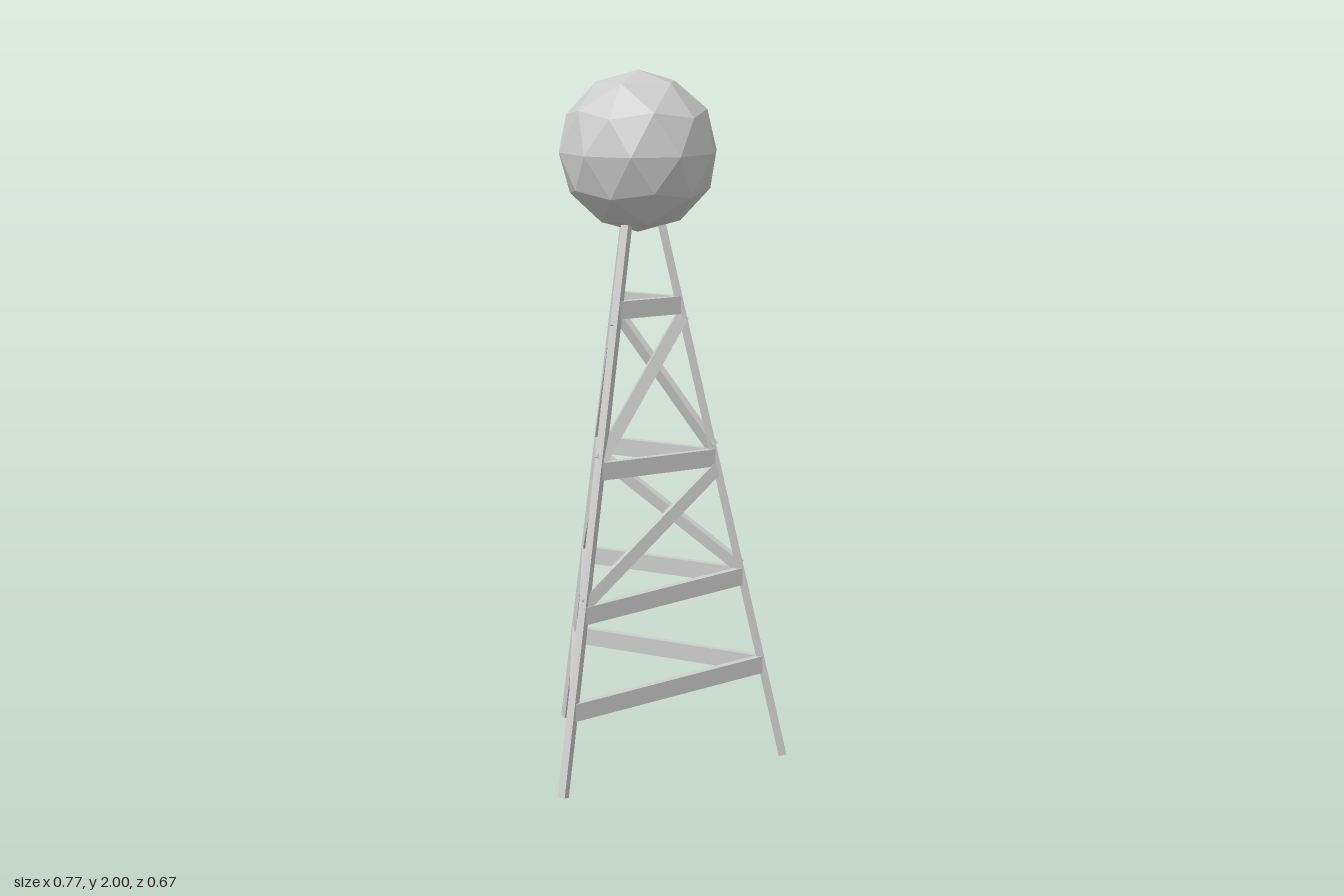
import * as THREE from 'three';

const AXIS_Z = 0.105;          // tower axis, set forward of the origin
const FOOT_R = 0.427, TOP_R = 0.064, TOP_Y = 1.58;
const grey = new THREE.MeshStandardMaterial({ color: 0xcccccc, flatShading: true });

// Leg directions in plan: front right, back, front left
const LEG_ANGLES = [Math.PI / 6, -Math.PI / 2, Math.PI * 5 / 6];

// Point on a leg's centre line at height y
function legPoint(leg, y) {
  const a = LEG_ANGLES[leg];
  const r = THREE.MathUtils.lerp(FOOT_R, TOP_R, y / TOP_Y);
  return new THREE.Vector3(r * Math.cos(a), y, AXIS_Z + r * Math.sin(a));
}

// Square-cut bar from a to b; depth is measured along the outward direction
function bar(name, a, b, outward, depth, height) {
  const dir = b.clone().sub(a);
  const length = dir.length();
  dir.normalize();
  const x = outward.clone().addScaledVector(dir, -outward.dot(dir)).normalize();
  const z = x.clone().cross(dir);
  const mesh = new THREE.Mesh(new THREE.BoxGeometry(depth, length, height), grey);
  mesh.name = name;
  mesh.quaternion.setFromRotationMatrix(new THREE.Matrix4().makeBasis(x, dir, z));
  mesh.position.copy(a).add(b).multiplyScalar(0.5);
  return mesh;
}

// Horizontal direction from the tower axis to the middle of a and b
function outwardOf(a, b) {
  const m = a.clone().add(b).multiplyScalar(0.5);
  return new THREE.Vector3(m.x, 0, m.z - AXIS_Z).normalize();
}

export function createModel() {
  const model = new THREE.Group();
  model.name = 'waterTower';

  // Faceted tank, one corner pointing straight up
  const ball = new THREE.IcosahedronGeometry(0.227, 1);
  ball.rotateZ(-Math.atan(2 / (1 + Math.sqrt(5))));
  const tank = new THREE.Mesh(ball, grey);
  tank.name = 'tank';
  tank.position.set(0, 1.773, AXIS_Z);
  model.add(tank);

  // Three leaning legs
  const legs = new THREE.Group();
  legs.name = 'legs';
  for (let i = 0; i < 3; i++) {
    const a = legPoint(i, 0.003), b = legPoint(i, TOP_Y);
    legs.add(bar('leg', a, b, outwardOf(a, b), 0.023, 0.023));
  }
  model.add(legs);

  // Joint heights per ring: [front right, back, front left]
  const rings = [
    [0.28, 0.28, 0.235],
    [0.545, 0.545, 0.5],
    [0.896, 0.896, 0.896],
    [1.338, 1.338, 1.338],
  ];

  // Ring beams between neighbouring legs
  const beams = new THREE.Group();
  beams.name = 'ringBeams';
  for (const heights of rings) {
    for (let i = 0; i < 3; i++) {
      const j = (i + 1) % 3;
      const a = legPoint(i, heights[i]), b = legPoint(j, heights[j]);
      beams.add(bar('ringBeam', a, b, outwardOf(a, b), 0.022, 0.05));
    }
  }
  model.add(beams);

  // Diagonal braces rise from each leg to the next; the lowest bay has only one
  const braces = new THREE.Group();
  braces.name = 'braces';
  for (let bay = 0; bay < 3; bay++) {
    for (let i = 0; i < 3; i++) {
      if (bay === 0 && i !== 1) continue;
      const j = (i + 1) % 3;
      const a = legPoint(i, rings[bay][i] + 0.03);
      const b = legPoint(j, rings[bay + 1][j] - 0.03);
      braces.add(bar('brace', a, b, outwardOf(a, b), 0.02, 0.036));
    }
  }
  model.add(braces);

  return model;
}
